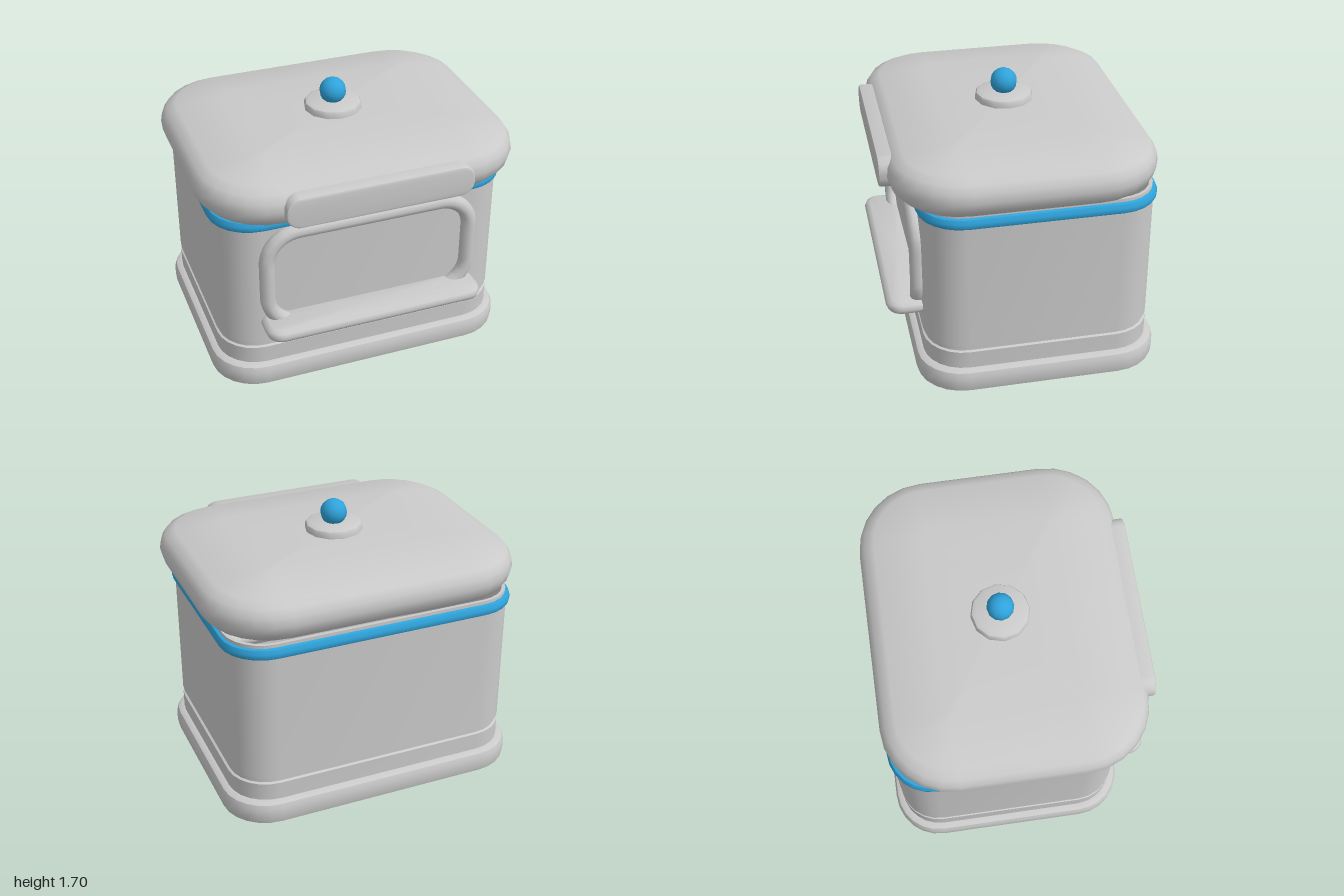
import * as THREE from 'three';
import { toCreasedNormals } from 'three/addons/utils/BufferGeometryUtils.js';

const CORNER = 6; // segments per rounded corner

// Points of a rounded rectangle in plan, shrunk by an inset
function outline({ hx, front, back, r }, inset) {
  const x = hx - inset, f = front - inset, b = back + inset;
  const rad = Math.max(r - inset, 0.02);
  const centres = [[x - rad, f - rad], [-x + rad, f - rad], [-x + rad, b + rad], [x - rad, b + rad]];
  const pts = [];
  centres.forEach(([cx, cz], q) => {
    for (let i = 0; i <= CORNER; i++) {
      const a = (q + i / CORNER) * Math.PI / 2;
      pts.push([cx + rad * Math.cos(a), cz + rad * Math.sin(a)]);
    }
  });
  return pts;
}

// Sweep an [inset, y] profile around a rounded rectangle, with optional end caps
function loft(plan, profile, caps = false, crease = 0.6) {
  const pos = [], idx = [], n = 4 * (CORNER + 1);
  for (const [inset, y] of profile) {
    for (const [x, z] of outline(plan, inset)) pos.push(x, y, z);
  }
  for (let j = 0; j < profile.length - 1; j++) {
    for (let i = 0; i < n; i++) {
      const a = j * n + i, b = j * n + (i + 1) % n;
      idx.push(a, a + n, b, b, a + n, b + n);
    }
  }
  if (caps) {
    const last = profile.length - 1, zc = (plan.front + plan.back) / 2;
    const c = pos.length / 3;
    pos.push(0, profile[0][1], zc, 0, profile[last][1], zc);
    for (let i = 0; i < n; i++) {
      const k = (i + 1) % n;
      idx.push(c, i, k, c + 1, last * n + k, last * n + i);
    }
  }
  const g = new THREE.BufferGeometry();
  g.setAttribute('position', new THREE.Float32BufferAttribute(pos, 3));
  g.setIndex(idx);
  return toCreasedNormals(g, crease);
}

// Rounded rectangle centred on the origin, in the xy plane
function roundedShape(hw, hh, r) {
  const s = new THREE.Shape();
  s.absarc(hw - r, hh - r, r, 0, Math.PI / 2);
  s.absarc(-hw + r, hh - r, r, Math.PI / 2, Math.PI);
  s.absarc(-hw + r, -hh + r, r, Math.PI, Math.PI * 1.5);
  s.absarc(hw - r, -hh + r, r, Math.PI * 1.5, Math.PI * 2);
  s.closePath();
  return s;
}

export function createModel() {
  const grey = new THREE.MeshStandardMaterial({ color: 0xcacaca, side: THREE.DoubleSide });
  grey.name = 'light grey';
  const blue = new THREE.MeshStandardMaterial({ color: 0x2fa4dc });
  blue.name = 'blue';

  const model = new THREE.Group();
  model.name = 'lidded box';
  const add = (name, geometry, material, x = 0, y = 0, z = 0) => {
    const mesh = new THREE.Mesh(geometry, material);
    mesh.name = name;
    mesh.position.set(x, y, z);
    model.add(mesh);
    return mesh;
  };

  // Hollow foot ring
  add('base', loft({ hx: 0.965, front: 0.675, back: -0.835, r: 0.29 }, [
    [0.03, 0], [0.008, 0.015], [0, 0.045], [0, 0.11], [0.012, 0.14], [0.04, 0.155],
    [0.075, 0.155], [0.075, 0.01], [0.06, 0], [0.03, 0],
  ]), grey);

  // Thin-walled body with a groove near the bottom and a rim at the top
  add('body', loft({ hx: 0.915, front: 0.625, back: -0.785, r: 0.25 }, [
    [0, 0.1], [0, 0.268], [0.014, 0.275], [0.014, 0.303], [0, 0.31], [0, 1.19],
    [0.008, 1.195], [0.008, 1.22], [0.03, 1.22],
  ]), grey);

  // Painted band
  add('band', loft({ hx: 0.936, front: 0.645, back: -0.805, r: 0.27 }, [
    [0.03, 1.135], [0.006, 1.137], [0, 1.15], [0, 1.172], [0.012, 1.195], [0.03, 1.2],
  ]), blue);

  // Cushion-shaped lid with a raised flat top
  add('lid', loft({ hx: 1, front: 0.79, back: -0.82, r: 0.43 }, [
    [0.2, 1.205], [0.12, 1.208], [0.06, 1.23], [0.018, 1.275], [0, 1.335], [0.01, 1.39],
    [0.04, 1.435], [0.1, 1.465], [0.395, 1.505],
  ], true, 0.7), grey);

  // Lid handle plate
  const plate = new THREE.ExtrudeGeometry(roundedShape(0.567, 0.085, 0.075), {
    depth: 0.2, bevelSize: 0.013, bevelThickness: 0.013, bevelSegments: 2, curveSegments: 6,
  });
  add('lidHandle', toCreasedNormals(plate, 0.6), grey, 0, 1.338, 0.622);

  // Door frame tube
  const loop = new THREE.CurvePath();
  const pts = roundedShape(0.652, 0.325, 0.2).getPoints(8).map((p) => new THREE.Vector3(p.x, p.y, 0));
  pts.forEach((p, i) => {
    const q = pts[(i + 1) % pts.length];
    if (p.distanceTo(q) > 1e-4) loop.add(new THREE.LineCurve3(p, q));
  });
  loop.autoClose = false;
  add('doorFrame', new THREE.TubeGeometry(loop, 120, 0.048, 10, true), grey, 0, 0.773, 0.642);

  // Shelf in front of the door
  add('shelf', loft({ hx: 0.7, front: 0.838, back: 0.56, r: 0.1 }, [
    [0.037, 0.435], [0.011, 0.446], [0, 0.4725], [0.011, 0.499], [0.037, 0.51],
  ], true, 0.9), grey);

  // Knob on its collar
  const collar = [[0, 1.49], [0.18, 1.49], [0.18, 1.53], [0.172, 1.546], [0.15, 1.555], [0, 1.555]];
  add('knobCollar', toCreasedNormals(
    new THREE.LatheGeometry(collar.map(([x, y]) => new THREE.Vector2(x, y)), 12), 0.7),
  grey, 0, 0, -0.018);
  add('knobStem', new THREE.CylinderGeometry(0.045, 0.055, 0.04, 12), grey, 0, 1.56, -0.018);
  add('knob', new THREE.SphereGeometry(0.083, 12, 10), blue, 0, 1.613, -0.018);

  return model;
}
